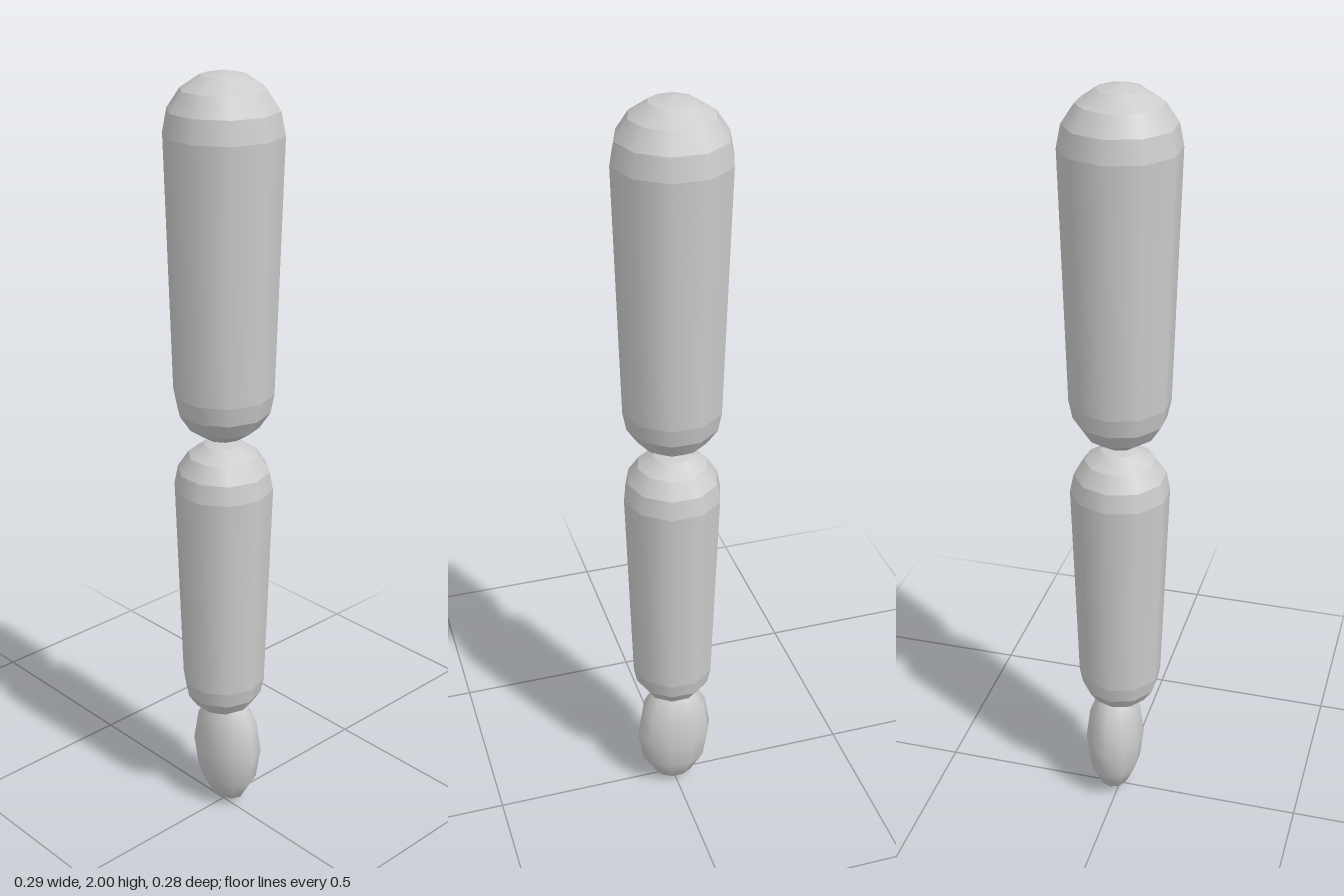
import * as THREE from 'three';
import { mergeGeometries } from 'three/addons/utils/BufferGeometryUtils.js';

const SIDES = 10;

// Tapered capsule: round around its axis, with a crisp edge at every ring.
function taperedCapsule(bottomY, bottomR, topY, topR) {
  const profile = [];
  for (let i = 0; i <= 4; i++) {
    const a = (i * Math.PI) / 8;
    profile.push(new THREE.Vector2(bottomR * Math.sin(a), bottomY - bottomR * Math.cos(a)));
  }
  for (let i = 4; i >= 0; i--) {
    const a = (i * Math.PI) / 8;
    profile.push(new THREE.Vector2(topR * Math.sin(a), topY + topR * Math.cos(a)));
  }
  const bands = [];
  for (let i = 0; i < profile.length - 1; i++) {
    bands.push(new THREE.LatheGeometry([profile[i], profile[i + 1]], SIDES, Math.PI / 2));
  }
  return mergeGeometries(bands);
}

export function createModel() {
  const group = new THREE.Group();
  group.name = 'arm';
  const grey = new THREE.MeshStandardMaterial({ color: 0xcccccc });
  grey.name = 'light grey';

  const add = (name, geometry) => {
    const mesh = new THREE.Mesh(geometry, grey);
    mesh.name = name;
    group.add(mesh);
    return mesh;
  };

  // Two limb segments, each narrowing downwards
  add('upperArm', taperedCapsule(1.218, 0.128, 1.854, 0.146));
  add('forearm', taperedCapsule(0.403, 0.11, 0.96, 0.128));

  // Flattened smooth hand, set slightly back
  const hand = add('hand', new THREE.SphereGeometry(1, SIDES, 6));
  hand.scale.set(0.105, 0.175, 0.078);
  hand.position.set(0, 0.175, -0.014);

  return group;
}
